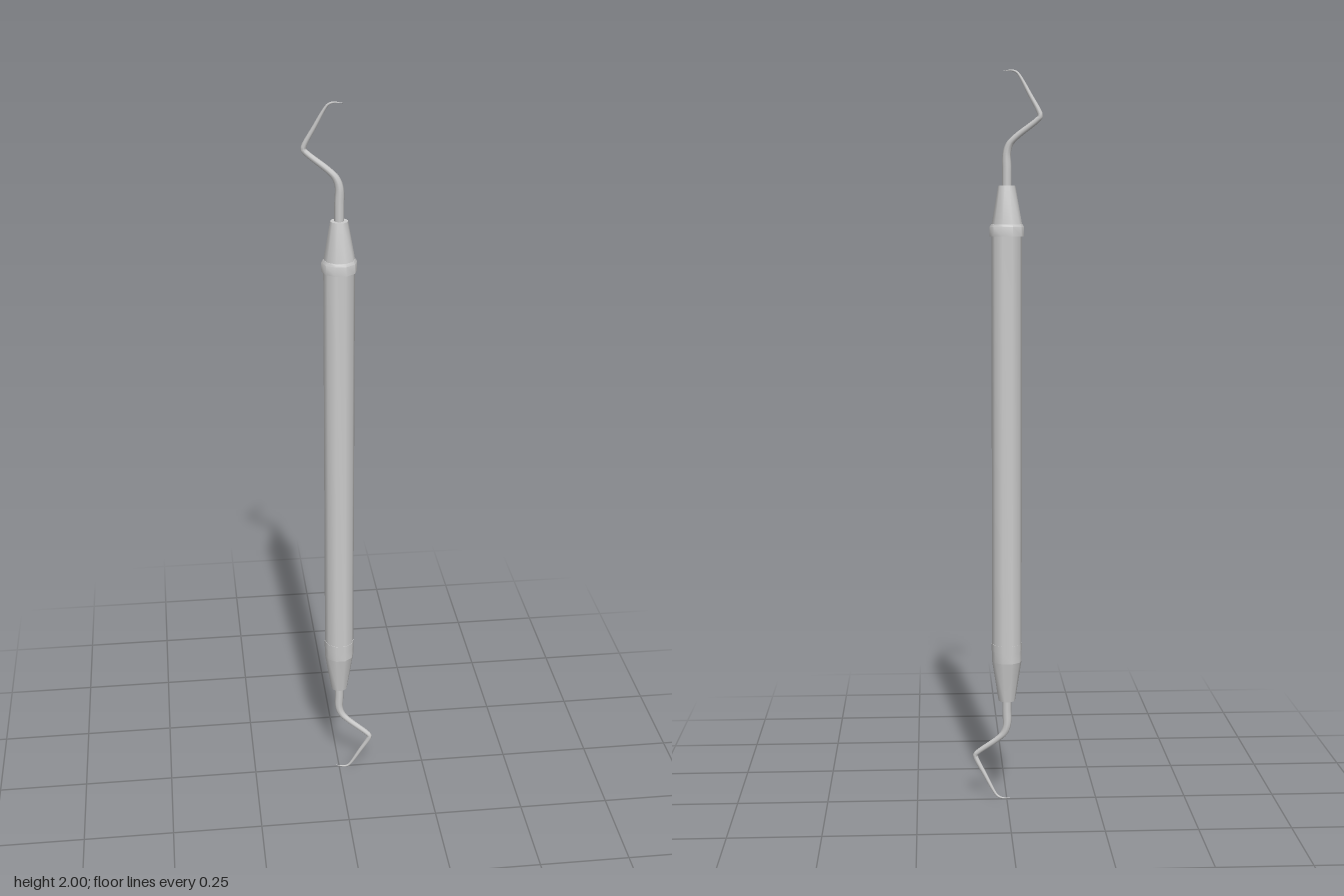
import * as THREE from 'three';
import { toCreasedNormals } from 'three/addons/utils/BufferGeometryUtils.js';

const material = new THREE.MeshStandardMaterial({ color: 0xcccccc });
const SIDES = 10;

// Ten-sided turned part from [radius, height] pairs, listed bottom to top
function turned(name, profile) {
  const points = profile.map(([r, y]) => new THREE.Vector2(r, y));
  const geometry = new THREE.LatheGeometry(points, SIDES, Math.PI / 2);
  const mesh = new THREE.Mesh(toCreasedNormals(geometry, 0.66), material);
  mesh.name = name;
  return mesh;
}

// Tube whose radius follows [position, radius] stops along its length
function taperedWire(name, points, stops) {
  const rings = 60, sides = 8;
  const curve = new THREE.CatmullRomCurve3(points, false, 'centripetal');
  const geometry = new THREE.TubeGeometry(curve, rings, 1, sides);
  const pos = geometry.attributes.position;
  const v = new THREE.Vector3();
  for (let i = 0; i <= rings; i++) {
    const t = i / rings;
    const k = Math.max(1, stops.findIndex(s => s[0] >= t));
    const [t0, r0] = stops[k - 1], [t1, r1] = stops[k];
    const radius = THREE.MathUtils.mapLinear(t, t0, t1, r0, r1);
    const centre = curve.getPointAt(t);
    for (let j = 0; j <= sides; j++) {
      const n = i * (sides + 1) + j;
      v.fromBufferAttribute(pos, n).sub(centre).multiplyScalar(radius).add(centre);
      pos.setXYZ(n, v.x, v.y, v.z);
    }
  }
  const mesh = new THREE.Mesh(geometry, material);
  mesh.name = name;
  return mesh;
}

// Bent working end, as [sideways, height] in a plane turned slightly off x
const hookPath = [
  [0, 1.68], [0, 1.74], [0, 1.785], [-0.008, 1.808], [-0.025, 1.826], [-0.078, 1.867],
  [-0.087, 1.877], [-0.085, 1.887], [-0.06, 1.934], [-0.034, 1.982], [-0.026, 1.992],
  [-0.014, 1.997], [0.009, 1.996]
];
const hookRadius = [[0, 0.0125], [0.2, 0.0125], [0.36, 0.0085], [0.55, 0.0075],
  [0.8, 0.005], [0.92, 0.003], [1, 0.0005]];

export function createModel() {
  const model = new THREE.Group();
  model.name = 'doubleEndedScaler';

  // Long grip with a fine ridge pair near its lower end
  model.add(turned('handle', [
    [0, 0.4], [0.041, 0.4], [0.041, 0.43], [0.042, 0.43], [0.042, 0.45], [0.041, 0.45],
    [0.041, 1.58], [0, 1.58]
  ]));

  // Raised ring at the upper end of the grip
  model.add(turned('collar', [
    [0.038, 1.565], [0.046, 1.565], [0.046, 1.59], [0.042, 1.597], [0.036, 1.597]
  ]));

  // Tapered ferrules that hold the wires
  model.add(turned('upperFerrule', [[0.042, 1.59], [0.023, 1.698], [0, 1.698]]));
  model.add(turned('lowerFerrule', [[0, 0.287], [0.023, 0.287], [0.041, 0.4]]));

  // The two hooks are opposite each other through the centre
  for (const s of [1, -1]) {
    const points = hookPath.map(([x, y]) =>
      new THREE.Vector3(s * x, 1 + s * (y - 1), s * x * 0.27));
    model.add(taperedWire(s > 0 ? 'upperHook' : 'lowerHook', points, hookRadius));
  }
  return model;
}
